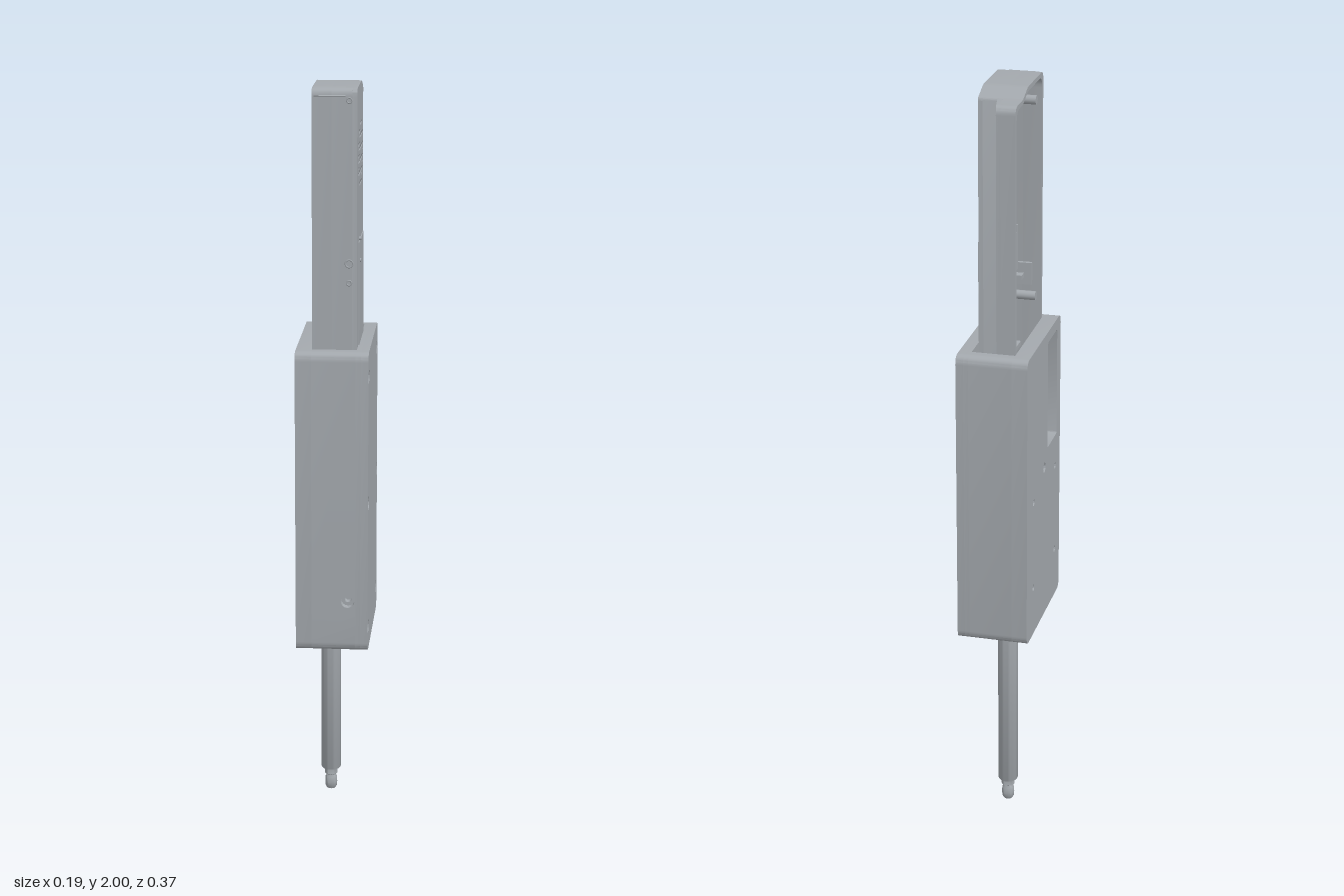
import * as THREE from 'three';
import { toCreasedNormals } from 'three/addons/utils/BufferGeometryUtils.js';

const grey = new THREE.MeshStandardMaterial({ color: 0xa3a8ad });
grey.name = 'plain grey';

// Trace a polygon whose corners are [u, v, radius]
function trace(path, pts) {
  const n = pts.length;
  const toward = (a, b, d) => {
    const l = Math.hypot(b[0] - a[0], b[1] - a[1]);
    return [a[0] + (b[0] - a[0]) * d / l, a[1] + (b[1] - a[1]) * d / l];
  };
  pts.forEach((p, i) => {
    const r = p[2] || 0;
    const a = r ? toward(p, pts[(i + n - 1) % n], r) : p;
    if (i === 0) path.moveTo(a[0], a[1]); else path.lineTo(a[0], a[1]);
    if (r) {
      const b = toward(p, pts[(i + 1) % n], r);
      path.quadraticCurveTo(p[0], p[1], b[0], b[1]);
    }
  });
  path.closePath();
  return path;
}
const poly = (pts) => trace(new THREE.Shape(), pts);
const polyHole = (pts) => trace(new THREE.Path(), pts);
const rect = (u0, u1, v0, v1, r = 0) => [[u0, v0, r], [u1, v0, r], [u1, v1, r], [u0, v1, r]];
const circleHole = (u, v, r) => new THREE.Path().absarc(u, v, r, 0, Math.PI * 2, true);

export function createModel() {
  const model = new THREE.Group();
  const housing = new THREE.Group();
  const handset = new THREE.Group();
  housing.name = 'housing';
  handset.name = 'handset';
  model.add(housing, handset);

  const add = (parent, name, geo, x = 0, y = 0, z = 0) => {
    const m = new THREE.Mesh(geo, grey);
    m.name = name;
    m.position.set(x, y, z);
    parent.add(m);
    return m;
  };
  // Side profile (u = -z, v = y) extruded from x0 to x1
  const slabGeo = (shape, x0, x1, seg = 6) => {
    const g = new THREE.ExtrudeGeometry(shape, { depth: x1 - x0, bevelEnabled: false, curveSegments: seg });
    g.rotateY(Math.PI / 2).translate(x0, 0, 0);
    return g;
  };
  const slab = (parent, name, shape, x0, x1, holes = [], seg = 6) => {
    shape.holes.push(...holes);
    return add(parent, name, toCreasedNormals(slabGeo(shape, x0, x1, seg), 0.5), 0, 0, 0);
  };
  const box = (parent, name, x0, x1, y0, y1, z0, z1) => add(parent, name,
    new THREE.BoxGeometry(x1 - x0, y1 - y0, z1 - z0), (x0 + x1) / 2, (y0 + y1) / 2, (z0 + z1) / 2);

  // ---- Housing: two side walls with front, back and partial floor between
  const side = () => poly(rect(-0.185, 0.188, 0.52, 1.33, 0.024));
  const screws = [];
  for (const u of [-0.165, 0.162]) for (const y of [0.585, 0.925, 1.265]) screws.push([u, y]);
  const screwHoles = (r) => screws.map(([u, y]) => circleHole(u, y, r));
  slab(housing, 'coverOuterLayer', side(), 0.073, 0.093, screwHoles(0.018));
  slab(housing, 'coverInnerLayer', side(), 0.06, 0.073, screwHoles(0.009));
  slab(housing, 'windowWall', side(), -0.097, -0.055, [
    polyHole(rect(-0.145, -0.04, 1.0, 1.3, 0.008)),
    circleHole(-0.006, 0.957, 0.014),
    ...[[-0.13, 0.91], [0.113, 0.907], [-0.13, 0.66], [0.113, 0.657]].map(([u, y]) => circleHole(u, y, 0.009)),
  ]);
  slab(housing, 'frontWall', poly([[-0.185, 0.69], [-0.145, 0.69], [-0.145, 1.33], [-0.185, 1.33, 0.024]]), -0.055, 0.06);
  slab(housing, 'frontWallAndFloor', poly([[-0.185, 0.52, 0.024], [-0.03, 0.52], [-0.03, 0.535],
    [-0.145, 0.535], [-0.145, 0.63], [-0.185, 0.63]]), -0.055, 0.06);
  slab(housing, 'backWall', poly([[0.148, 0.52], [0.188, 0.52, 0.024], [0.188, 1.33, 0.024], [0.148, 1.33]]), -0.055, 0.06);
  // Front screw hole
  for (const [r, z, d] of [[0.018, 0.165, 0.02], [0.009, 0.145, 0.02]]) {
    const s = poly(rect(-0.055, 0.06, 0.63, 0.69));
    s.holes.push(circleHole(0.04, 0.66, r));
    add(housing, 'frontScrewHole', new THREE.ExtrudeGeometry(s, { depth: d, bevelEnabled: false, curveSegments: 8 }), 0, 0, z);
  }

  // ---- Handset: shell open toward -x, deep at the front and shallow at the back
  const base = 0.537, t = 0.012;
  slab(handset, 'shellRim',
    poly([[-0.145, base], [0.148, base], [0.148, 1.98, 0.022], [0.07, 1.98, 0.01], [0.02, 2.0, 0.01], [-0.145, 2.0, 0.022]]),
    -0.055, -0.005, [polyHole([[-0.145 + t, base + t], [0.148 - t, base + t], [0.148 - t, 1.98 - t, 0.03],
      [0.07, 1.98 - t, 0.01], [0.02, 2 - t, 0.01], [-0.145 + t, 2 - t, 0.03]])]);
  const deep = () => poly([[-0.145, base], [0.075, base], [0.075, 1.978, 0.006], [0.02, 2.0, 0.012], [-0.145, 2.0, 0.022]]);
  slab(handset, 'deepShell', deep(), -0.005, 0.048, [polyHole([[-0.145 + t, base + t], [0.075 - t, base + t],
    [0.075 - t, 1.965], [0.02, 2 - t], [-0.145 + t, 2 - t, 0.03]])]);

  // Face panel with a round grille
  const grille = [];
  const pitch = 0.0175;
  for (let j = -5; j <= 5; j++) {
    for (let i = -6; i <= 6; i++) {
      const u = (i + (j & 1 ? 0.5 : 0)) * pitch, v = j * pitch * 0.866;
      if (Math.hypot(u, v) < 0.083) grille.push(circleHole(-0.022 + u, 1.82 + v, 0.006));
    }
  }
  for (const [u, y] of [[0.005, 1.685], [0.005, 1.64]]) grille.push(circleHole(u, y, 0.004));
  slab(handset, 'facePanel', deep(), 0.048, 0.06, grille, 3);

  // Sloping rear panel, sheared so it leans in toward the step
  const lean = slabGeo(poly([[0.07, base], [0.148, base], [0.148, 1.98, 0.022], [0.07, 1.98]]), -0.017, -0.005);
  const p = lean.attributes.position;
  for (let i = 0; i < p.count; i++) p.setX(i, p.getX(i) + (p.getZ(i) + 0.148) * 0.2);
  add(handset, 'slopingRearPanel', toCreasedNormals(lean, 0.5));

  // Raised panel, pegs and small front buttons
  box(handset, 'raisedPanel', 0.059, 0.0625, base, 1.6, -0.07, 0.09);
  for (const y of [1.55, 1.607]) {
    add(handset, 'sidePeg', new THREE.CylinderGeometry(0.005, 0.005, 0.008, 12).rotateZ(Math.PI / 2), 0.062, y, 0.07);
  }
  for (const [y, r] of [[1.97, 0.008], [1.555, 0.012], [1.505, 0.008]]) {
    add(handset, 'frontSocket', new THREE.TorusGeometry(r * 0.8, 0.002, 6, 20), 0.04, y, 0.145);
  }
  // Chamfered insert on the upper front corner
  add(handset, 'cornerInsert', new THREE.BoxGeometry(0.08, 0.006, 0.03), -0.01, 1.9895, 0.1335).rotation.x = 0.75;

  // Interior ribs, bracket, lugs and posts
  box(handset, 'innerBracket', -0.03, 0.048, 1.52, 1.64, -0.03, -0.02);
  box(handset, 'innerBracketFoot', -0.03, -0.02, 1.52, 1.62, -0.055, -0.02);
  box(handset, 'innerShelf', -0.02, 0.05, 1.46, 1.472, 0.06, 0.134);
  box(handset, 'innerLug', -0.04, 0.05, 1.44, 1.5, 0.085, 0.095);
  for (const y of [1.32, 1.42, 1.5]) box(handset, 'rearRib', -0.035, -0.002, y, y + 0.03, -0.125, -0.08);
  for (const y of [0.75, 1.0, 1.25]) box(handset, 'crossRib', 0.0, 0.05, y, y + 0.012, -0.064, 0.134);
  box(handset, 'windowBoard', -0.01, 0.0, 1.02, 1.22, 0.07, 0.1);
  for (const [y, z] of [[1.93, 0.115], [1.93, -0.12], [1.4, 0.115], [0.62, 0.115], [0.62, -0.12]]) {
    const x1 = z > 0 ? 0.05 : -0.005;
    add(handset, 'screwPost', new THREE.CylinderGeometry(0.012, 0.012, x1 + 0.045, 16).rotateZ(Math.PI / 2), (x1 - 0.045) / 2, y, z);
  }

  // Bottom bracket, knob and rod with a rounded tip
  box(handset, 'bottomBracket', -0.05, 0.0, 0.505, 0.54, -0.1, -0.025);
  add(handset, 'bottomKnob', new THREE.CylinderGeometry(0.016, 0.016, 0.02, 20), 0.03, 0.53, -0.04);
  const profile = [[0, 0], [0.012, 0.001], [0.016, 0.008], [0.017, 0.02], [0.016, 0.034], [0.012, 0.042],
    [0.018, 0.046], [0.018, 0.062], [0.025, 0.063], [0.027, 0.067], [0.027, 0.54], [0, 0.54]];
  const rod = new THREE.LatheGeometry(profile.map(([r, y]) => new THREE.Vector2(r, y)), 28);
  add(handset, 'rod', toCreasedNormals(rod, 0.7), -0.027, 0, -0.112);

  return model;
}
